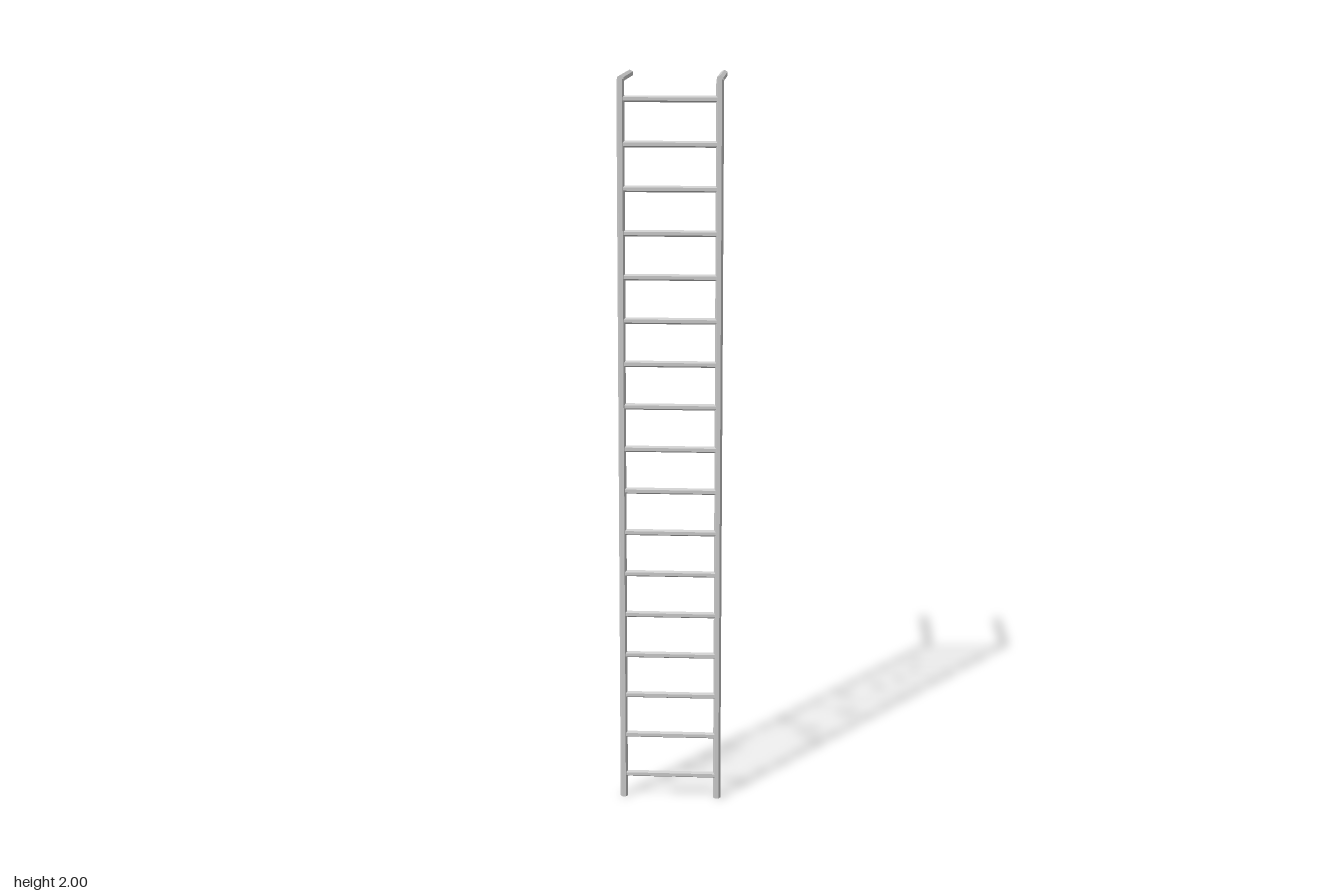
import * as THREE from 'three';

const RAIL_R = 0.0103, RUNG_R = 0.0088;
const RAIL_X = 0.13, FRONT_Z = 0.1467, BACK_Z = -0.156;
const TOP_Y = 2 - RAIL_R;

export function createModel() {
  const model = new THREE.Group();
  const material = new THREE.MeshStandardMaterial({ color: 0xcccccc, flatShading: true });

  // Six-sided bar; turn sets which way its corners point
  function bar(name, radius, length, turn) {
    const geometry = new THREE.CylinderGeometry(radius, radius, length, 6, 1, false, turn);
    const mesh = new THREE.Mesh(geometry, material);
    mesh.name = name;
    model.add(mesh);
    return mesh;
  }

  for (const [label, side] of [['left', 1], ['right', -1]]) {
    // Upright rail, flat side to the front
    bar(label + 'Rail', RAIL_R, TOP_Y, Math.PI / 6).position.set(side * RAIL_X, TOP_Y / 2, FRONT_Z);

    // Horizontal arm running back from the top of the rail, corner up
    const arm = bar(label + 'TopArm', RAIL_R, FRONT_Z - BACK_Z, 0);
    arm.rotation.x = Math.PI / 2;
    arm.position.set(side * RAIL_X, TOP_Y, (FRONT_Z + BACK_Z) / 2);
  }

  // Evenly spaced rungs between the rails
  for (let i = 0; i < 17; i++) {
    const rung = bar('rung' + (i + 1), RUNG_R, RAIL_X * 2, Math.PI / 6);
    rung.rotation.z = Math.PI / 2;
    rung.position.set(0, 0.067 + i * 0.117, FRONT_Z - 0.001);
  }

  return model;
}
